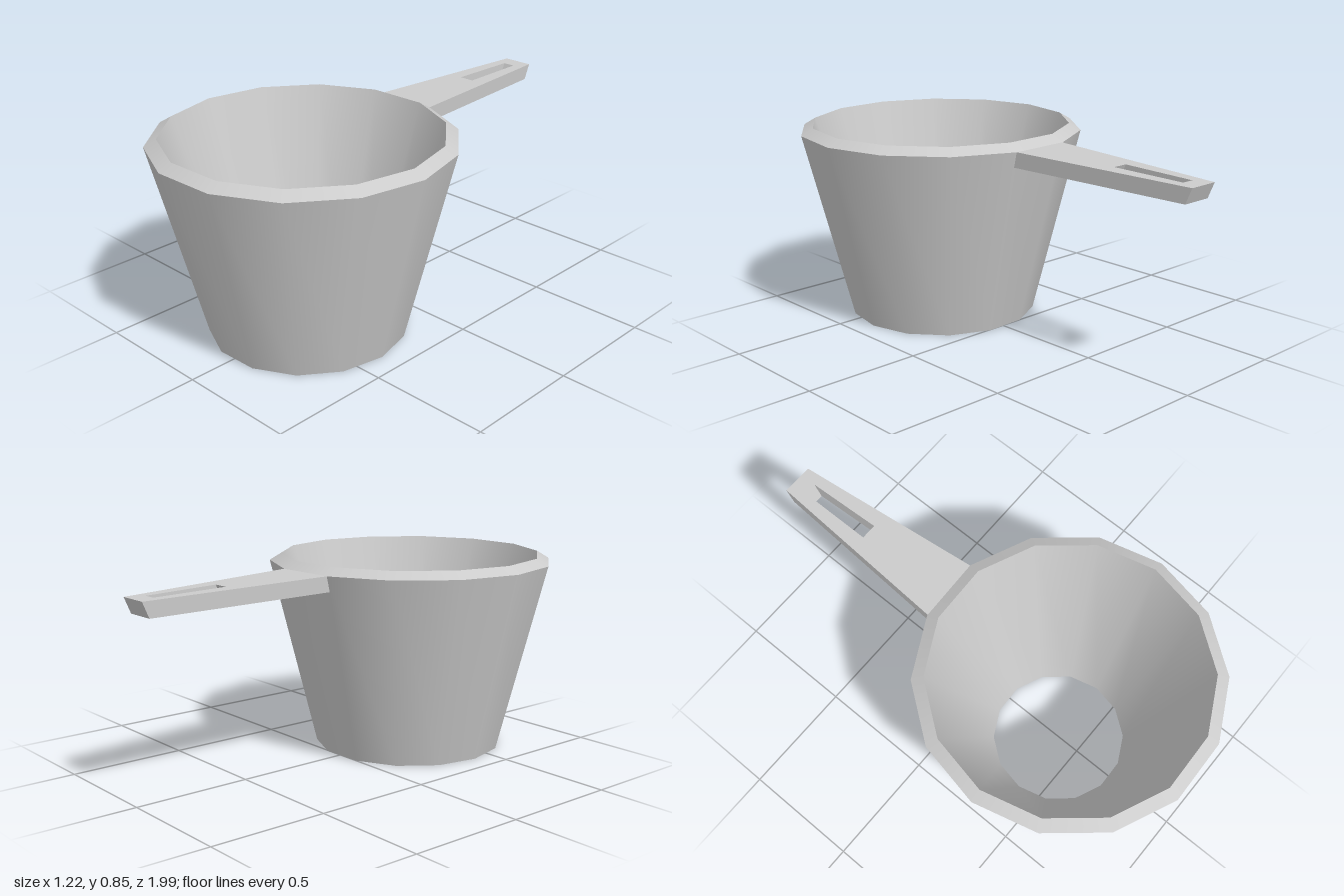
import * as THREE from 'three';

const material = new THREE.MeshStandardMaterial({ color: 0xcccccc });

export function createModel() {
  const model = new THREE.Group();

  // Cup: open-bottomed 14-sided ring wall, one lathe band per edge to keep the rims sharp
  const cup = new THREE.Group();
  cup.name = 'cup';
  cup.position.z = 0.395;
  const profile = [
    ['bottomRing', 0.29, 0],
    ['outerWall', 0.408, 0],
    ['rim', 0.61, 0.815],
    ['innerWall', 0.56, 0.845],
  ];
  profile.forEach(([name, r, y], i) => {
    const [, r2, y2] = profile[(i + 1) % profile.length];
    const points = [new THREE.Vector2(r, y), new THREE.Vector2(r2, y2)];
    const start = THREE.MathUtils.degToRad(91.7);
    const band = new THREE.Mesh(new THREE.LatheGeometry(points, 14, start), material);
    band.name = name;
    cup.add(band);
  });
  model.add(cup);

  // Handle: tapered plan with a slot (shape y is the distance backwards)
  const outline = (pts) => pts.map(([x, y]) => new THREE.Vector2(x, y));
  const plan = new THREE.Shape(outline([[-0.15, 0.195], [0.118, 0.195], [0.03, 1], [-0.1, 1]]));
  plan.holes.push(new THREE.Path(outline([[-0.06, 0.615], [-0.06, 0.93], [-0.008, 0.93], [0.006, 0.615]])));
  const geometry = new THREE.ExtrudeGeometry(plan, { depth: 1, bevelEnabled: false });
  geometry.rotateX(-Math.PI / 2);

  // Slope the handle down towards its tip and slant its ends
  const pos = geometry.attributes.position;
  for (let i = 0; i < pos.count; i++) {
    const t = pos.getY(i), z = pos.getZ(i);
    pos.setY(i, 0.75 + 0.065 * t + 0.019 * (z + 0.2));
    pos.setZ(i, z + 0.028 * (1 - t));
  }
  geometry.computeVertexNormals();
  const handle = new THREE.Mesh(geometry, material);
  handle.name = 'handle';
  model.add(handle);

  return model;
}
